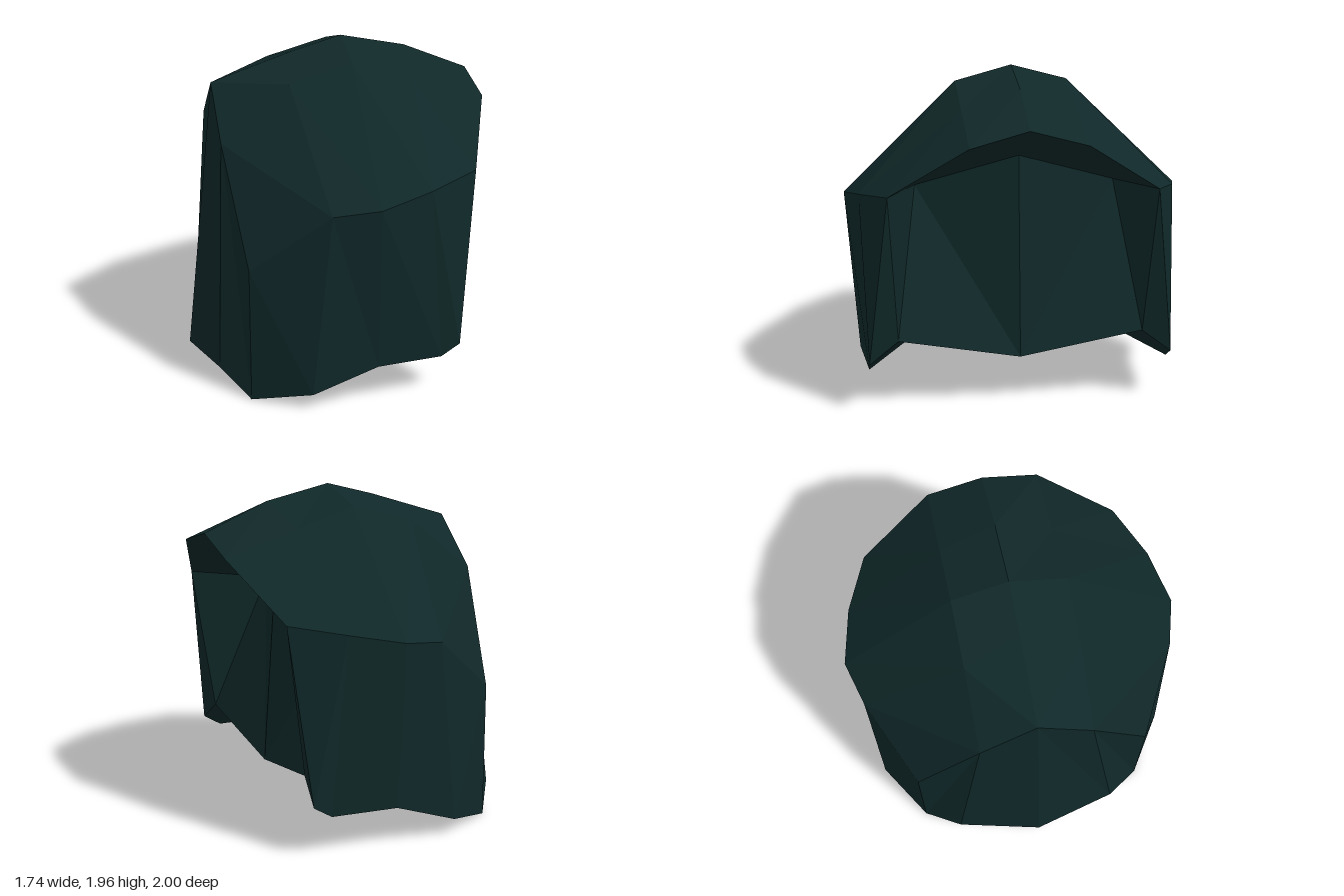
import * as THREE from 'three';

export function createModel() {
  const group = new THREE.Group();
  group.name = 'hairShell';
  const darkTeal = new THREE.MeshStandardMaterial({ color: 0x102829, flatShading: true });
  darkTeal.name = 'darkTeal';

  // Cross-sections of one half (z >= 0), running from the back (-x) to the face opening (+x)
  const ridge = [[-0.69, 1.72, 0], [-0.2, 1.88, 0], [0.09, 1.96, 0], [0.48, 1.88, 0], [0.87, 1.72, 0]];
  const crown = [[-0.69, 1.45, 0.33], [-0.29, 1.77, 0.33], [0.08, 1.87, 0.33], [0.44, 1.76, 0.33], [0.87, 1.63, 0.33]];
  const temple = [[-0.61, 0.81, 0.71], [-0.18, 1.18, 0.93], [0.08, 1.22, 1], [0.39, 1.28, 0.92], [0.69, 1.33, 0.77]];
  const hem = [[-0.61, 0, 0.71], [-0.29, 0.1, 0.92], [0.09, 0.24, 0.93], [0.48, 0.24, 0.89], [0.59, 0.31, 0.89]];
  const nape = [[-0.87, 0.06, 0], [-0.76, 0.12, 0.5]];

  // Face opening and underside
  const faceTop = [[0.25, 1.29, 0.59], [0.43, 1.49, 0]];
  const faceBottom = [[0.57, 0.44, 0.72], [0.52, 0.29, 0]];
  const under = [[0.1, 0.37, 0.51], [0.1, 0.28, 0]];
  const tip = temple[4];

  // Skins an upper row to a lower row and mirrors the faces across z = 0
  const part = (name, ...strips) => {
    const positions = [];
    const triangle = (a, b, c) => {
      if (a === b || b === c || a === c) return;
      positions.push(...a, ...b, ...c);
      for (const [x, y, z] of [a, c, b]) positions.push(x, y, -z);
    };
    for (const [up, low] of strips) {
      for (let i = 0; i < up.length - 1; i++) {
        triangle(up[i], low[i], low[i + 1]);
        triangle(up[i], low[i + 1], up[i + 1]);
      }
    }
    const geometry = new THREE.BufferGeometry();
    geometry.setAttribute('position', new THREE.Float32BufferAttribute(positions, 3));
    geometry.computeVertexNormals();
    const mesh = new THREE.Mesh(geometry, darkTeal);
    mesh.name = name;
    group.add(mesh);
  };

  part('crown', [ridge, crown], [crown, temple]);
  part('sides', [temple, hem]);
  part('back', [[ridge[0], crown[0], temple[0]], [nape[0], nape[1], hem[0]]]);

  // Overhanging brow and the inner edges beside the face
  part('browUnderside', [[tip, crown[4], ridge[4]], [tip, ...faceTop]]);
  part('innerSides', [[tip, tip, faceTop[0]], [hem[4], faceBottom[0], faceBottom[0]]]);
  part('facePanel', [faceTop, faceBottom]);

  // Arched underside from the chin to the nape
  part('underside',
    [faceBottom, under],
    [under, [nape[1], nape[0]]],
    [[hem[4], faceBottom[0]], [hem[3], under[0]]],
    [[hem[3], under[0]], [hem[2], under[0]]],
    [[hem[2], under[0]], [hem[1], under[0]]],
    [[under[0], under[0]], [hem[1], nape[1]]],
    [[hem[1], nape[1]], [hem[0], nape[1]]]);

  return group;
}
